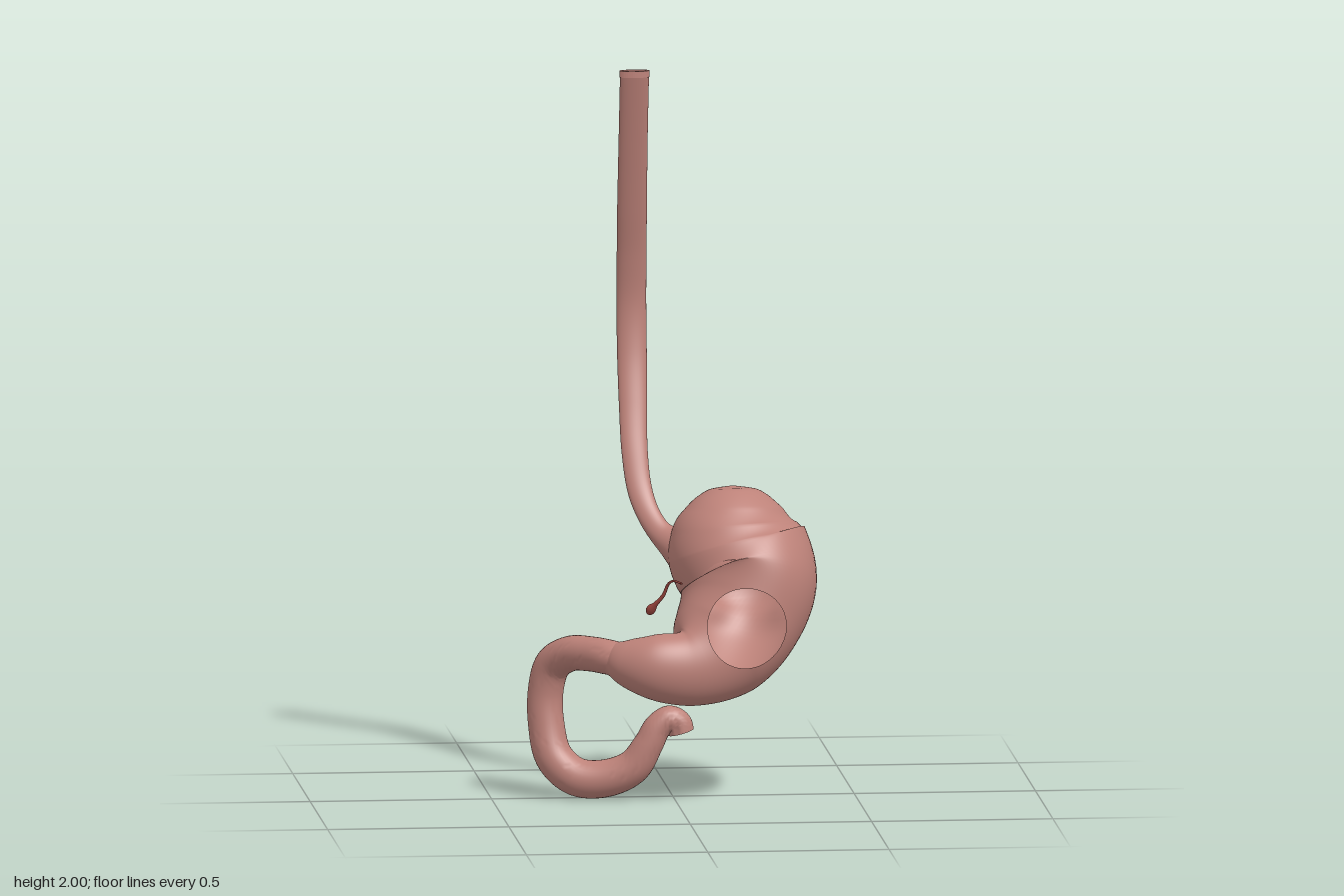
import * as THREE from 'three';
import { toCreasedNormals } from 'three/addons/utils/BufferGeometryUtils.js';

const Z = new THREE.Vector3(0, 0, 1);

// Loft of ellipses along a curve; each section is [x, y, z, halfWidth, halfDepth].
function loft(sections, steps, sides, capEnd = false) {
  const path = new THREE.CatmullRomCurve3(sections.map(s => new THREE.Vector3(s[0], s[1], s[2])));
  const size = new THREE.CatmullRomCurve3(
    sections.map(s => new THREE.Vector3(s[3], s[4] ?? s[3], 0)), false, 'catmullrom', 0.5);
  const pos = [], index = [];
  for (let i = 0; i <= steps; i++) {
    const u = i / steps, c = path.getPoint(u), t = path.getTangent(u), r = size.getPoint(u);
    const side = Z.clone().addScaledVector(t, -t.z).normalize();
    const n = side.clone().cross(t);
    for (let j = 0; j < sides; j++) {
      const a = j / sides * Math.PI * 2;
      const p = c.clone().addScaledVector(n, Math.max(r.x, 0) * Math.cos(a))
        .addScaledVector(side, Math.max(r.y, 0) * Math.sin(a));
      pos.push(p.x, p.y, p.z);
      if (i < steps) {
        const k = i * sides, j2 = (j + 1) % sides;
        index.push(k + j, k + j2, k + sides + j, k + j2, k + sides + j2, k + sides + j);
      }
    }
  }
  if (capEnd) {
    const c = path.getPoint(1), k = steps * sides, m = pos.length / 3;
    pos.push(c.x, c.y, c.z);
    for (let j = 0; j < sides; j++) index.push(k + j, k + (j + 1) % sides, m);
  }
  const g = new THREE.BufferGeometry();
  g.setAttribute('position', new THREE.Float32BufferAttribute(pos, 3));
  g.setIndex(index);
  g.computeVertexNormals();
  return g;
}

// Push vertices inward with soft, elongated dents: [x, y, z, spreadX, spread, depth].
function dent(g, dents) {
  const p = g.attributes.position, n = g.attributes.normal;
  for (let i = 0; i < p.count; i++) {
    let d = 0;
    for (const [x, y, z, sx, s, depth] of dents) {
      const e = ((p.getX(i) - x) / sx) ** 2 + ((p.getY(i) - y) / s) ** 2 + ((p.getZ(i) - z) / s) ** 2;
      d += depth * Math.exp(-e);
    }
    p.setXYZ(i, p.getX(i) - n.getX(i) * d, p.getY(i) - n.getY(i) * d, p.getZ(i) - n.getZ(i) * d);
  }
  g.computeVertexNormals();
  return g;
}

// Cut a round window through the front wall by clipping each triangle.
function cutWindow(geometry, cx, cy, radius, zMin) {
  const g = geometry.toNonIndexed();
  const p = g.attributes.position.array, n = g.attributes.normal.array;
  const outP = [], outN = [];
  const f = v => Math.hypot(v[0] - cx, v[1] - cy) - radius;
  for (let i = 0; i < p.length; i += 9) {
    const tri = [0, 3, 6].map(k => [...p.slice(i + k, i + k + 3), ...n.slice(i + k, i + k + 3)]);
    let poly = tri;
    if (tri.every(v => v[2] > zMin)) {
      poly = [];
      tri.forEach((a, k) => {
        const b = tri[(k + 1) % 3], fa = f(a), fb = f(b);
        if (fa >= 0) poly.push(a);
        if (fa * fb < 0) poly.push(a.map((v, q) => v + (b[q] - v) * fa / (fa - fb)));
      });
    }
    for (let k = 1; k + 1 < poly.length; k++) {
      for (const v of [poly[0], poly[k], poly[k + 1]]) {
        outP.push(v[0], v[1], v[2]);
        outN.push(v[3], v[4], v[5]);
      }
    }
  }
  const out = new THREE.BufferGeometry();
  out.setAttribute('position', new THREE.Float32BufferAttribute(outP, 3));
  out.setAttribute('normal', new THREE.Float32BufferAttribute(outN, 3));
  return out;
}

export function createModel() {
  const group = new THREE.Group();
  const tissue = new THREE.MeshStandardMaterial({ color: 0xbd8279, side: THREE.DoubleSide });
  tissue.name = 'pink tissue';
  const red = new THREE.MeshStandardMaterial({ color: 0xa04840, side: THREE.DoubleSide });
  red.name = 'dark red';
  const add = (name, geometry, material = tissue) => {
    const mesh = new THREE.Mesh(geometry, material);
    mesh.name = name;
    group.add(mesh);
    return mesh;
  };

  // Stomach: rounded fundus, wide body, antrum narrowing to the pylorus
  const stomach = loft([
    [0.168, 0.856, -0.03, 0],
    [0.168, 0.847, -0.029, 0.062],
    [0.168, 0.826, -0.025, 0.1],
    [0.168, 0.79, -0.018, 0.138, 0.14],
    [0.169, 0.74, -0.009, 0.174, 0.178],
    [0.178, 0.685, 0.003, 0.194, 0.204],
    [0.206, 0.605, 0.03, 0.188, 0.222],
    [0.177, 0.51, 0.084, 0.172, 0.19],
    [0.11, 0.43, 0.147, 0.15, 0.142],
    [0.03, 0.388, 0.2, 0.108, 0.083],
    [-0.07, 0.391, 0.203, 0.091, 0.076],
    [-0.135, 0.398, 0.175, 0.069, 0.064],
    [-0.168, 0.404, 0.152, 0.052, 0.05],
    [-0.185, 0.407, 0.142, 0.044, 0.042],
  ], 120, 80);
  dent(stomach, [
    [0.27, 0.5, -0.09, 0.1, 0.045, 0.03],
    [0.15, 0.5, -0.12, 0.09, 0.04, 0.025],
    [0.33, 0.5, 0, 0.05, 0.03, 0.012],
  ]);
  add('stomach', cutWindow(stomach, 0.182, 0.501, 0.11, 0.1));

  // Oesophagus: flattened tube bowing backwards, flaring into the stomach
  const gullet = [
    [-0.095, 1.99, -0.11, 0.04, 0.018],
    [-0.094, 1.8, -0.16, 0.04, 0.019],
    [-0.092, 1.6, -0.212, 0.041, 0.021],
    [-0.09, 1.46, -0.246, 0.041, 0.022],
    [-0.089, 1.33, -0.262, 0.041, 0.022],
    [-0.089, 1.2, -0.247, 0.041, 0.021],
    [-0.09, 1.06, -0.205, 0.039, 0.019],
    [-0.09, 0.93, -0.155, 0.036, 0.017],
    [-0.079, 0.83, -0.115, 0.034, 0.017],
    [-0.056, 0.765, -0.082, 0.032, 0.019],
    [-0.025, 0.72, -0.054, 0.035, 0.026],
    [0.01, 0.695, -0.035, 0.052, 0.046],
    [0.05, 0.675, -0.02, 0.085, 0.08],
  ];
  add('oesophagus', loft(gullet, 90, 32));
  add('oesophagusLining', loft(
    gullet.slice(0, 9).map(([x, y, z, a, b]) => [x, y, z, a - 0.006, b - 0.005]), 40, 32));

  // Cut rim at the top of the oesophagus
  const ring = new THREE.Shape().absellipse(0, 0, 0.042, 0.019, 0, Math.PI * 2);
  ring.holes.push(new THREE.Path().absellipse(0, 0, 0.034, 0.013, 0, Math.PI * 2, true));
  const rim = add('oesophagusRim',
    new THREE.ExtrudeGeometry(ring, { depth: 0.018, bevelEnabled: false, curveSegments: 20 }));
  rim.rotation.x = -Math.PI / 2;
  rim.position.set(-0.095, 1.982, -0.11);

  // Duodenum: C-shaped loop ending in a cut face
  add('duodenum', toCreasedNormals(loft([
    [-0.14, 0.403, 0.172, 0.044],
    [-0.185, 0.409, 0.138, 0.048],
    [-0.235, 0.411, 0.08, 0.048],
    [-0.285, 0.403, 0.02, 0.049],
    [-0.328, 0.365, -0.032, 0.05],
    [-0.346, 0.29, -0.049, 0.049],
    [-0.345, 0.2, -0.043, 0.05],
    [-0.325, 0.11, -0.022, 0.052],
    [-0.268, 0.059, 0.004, 0.053],
    [-0.19, 0.056, 0.026, 0.052],
    [-0.115, 0.09, 0.047, 0.048],
    [-0.073, 0.155, 0.06, 0.041],
    [-0.047, 0.203, 0.062, 0.038],
    [-0.015, 0.224, 0.062, 0.037],
    [0.01, 0.212, 0.062, 0.036],
    [0.017, 0.187, 0.062, 0.036],
  ], 110, 32, true), 0.9));

  // Small branch beside the lesser curvature, swelling at its free end
  add('smallBranch', loft([
    [0.012, 0.61, 0.13, 0.003],
    [-0.008, 0.613, 0.1, 0.003],
    [-0.02, 0.6, 0.075, 0.004],
    [-0.032, 0.567, 0.058, 0.005],
    [-0.052, 0.54, 0.042, 0.007],
    [-0.062, 0.525, 0.028, 0.013],
    [-0.067, 0.515, 0.018, 0.01],
    [-0.069, 0.51, 0.013, 0],
  ], 50, 14), red);

  return group;
}
